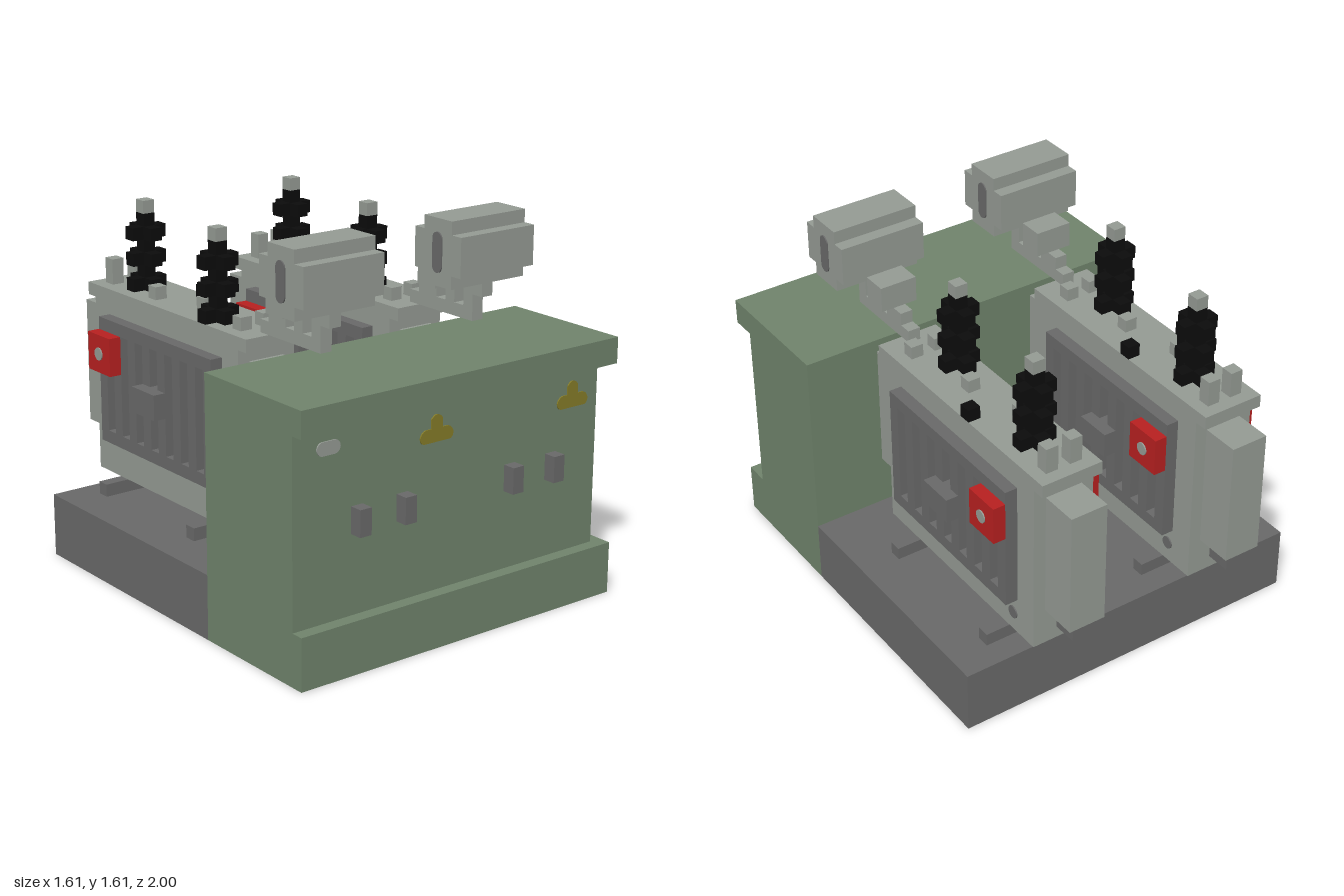
import * as THREE from 'three';

const U = 1 / 18; // building unit: every part sits on this grid

const mat = (name, color) => {
  const m = new THREE.MeshStandardMaterial({ color });
  m.name = name;
  return m;
};

export function createModel() {
  const green = mat('cabinet green', 0x70846c);
  const light = mat('light grey', 0x959b94);
  const dark = mat('dark grey', 0x696969);
  const black = mat('insulator black', 0x0c0c0c);
  const red = mat('red', 0xb82020);
  const yellow = mat('warning yellow', 0x857c28);

  // Box from its limits in grid units
  const box = (parent, name, m, x0, x1, y0, y1, z0, z1) => {
    const mesh = new THREE.Mesh(new THREE.BoxGeometry((x1 - x0) * U, (y1 - y0) * U, (z1 - z0) * U), m);
    mesh.position.set((x0 + x1) / 2 * U, (y0 + y1) / 2 * U, (z0 + z1) / 2 * U);
    mesh.name = name;
    parent.add(mesh);
    return mesh;
  };

  // Thin plate cut from a shape, facing +z before it is turned
  const plate = (parent, name, m, shape, x, y, z, turn = 0) => {
    const geo = new THREE.ExtrudeGeometry(shape, { depth: 0.1, bevelEnabled: false, curveSegments: 6 });
    const mesh = new THREE.Mesh(geo, m);
    mesh.scale.setScalar(U);
    mesh.position.set(x * U, y * U, z * U);
    mesh.rotation.y = turn;
    mesh.name = name;
    parent.add(mesh);
  };

  // Rounded slot of half width w and half height h
  const slot = (w, h) => {
    const s = new THREE.Shape();
    const r = Math.min(w, h);
    s.absarc(w - r, h - r, r, 0, Math.PI / 2);
    s.absarc(r - w, h - r, r, Math.PI / 2, Math.PI);
    s.absarc(r - w, r - h, r, Math.PI, Math.PI * 1.5);
    s.absarc(w - r, r - h, r, Math.PI * 1.5, Math.PI * 2);
    return s;
  };

  const model = new THREE.Group();
  model.name = 'transformerStation';

  // Plinth and switch cabinet with a recessed front
  box(model, 'plinth', dark, -14.5, 14.5, 0, 5, -14, 7);
  const cabinet = new THREE.Group();
  cabinet.name = 'switchCabinet';
  model.add(cabinet);
  box(cabinet, 'cabinetFoot', green, -14.5, 14.5, 0, 4, 7, 18);
  box(cabinet, 'cabinetBody', green, -14.5, 14.5, 4, 18, 7, 16);
  box(cabinet, 'cabinetDoors', green, -14.5, 13.5, 4, 18, 16, 17);
  box(cabinet, 'cabinetRoof', green, -14.5, 14.5, 18, 20, 7, 18);
  for (const x of [-9, -5, 5, 9]) box(cabinet, 'doorHandle', dark, x - 0.5, x + 0.5, 10, 12, 17, 18);
  plate(cabinet, 'namePlate', light, slot(1, 0.5), -11.5, 16.6, 17);

  // Warning signs
  const sign = new THREE.Shape();
  sign.moveTo(-1.2, 0);
  sign.lineTo(1.2, 0);
  sign.quadraticCurveTo(1.5, 0.1, 1.5, 0.5);
  sign.quadraticCurveTo(1.4, 0.9, 1, 1);
  sign.lineTo(0.5, 1);
  sign.lineTo(0.5, 1.7);
  sign.quadraticCurveTo(0, 2.3, -0.5, 1.7);
  sign.lineTo(-0.5, 1);
  sign.lineTo(-1, 1);
  sign.quadraticCurveTo(-1.4, 0.9, -1.5, 0.5);
  sign.quadraticCurveTo(-1.5, 0.1, -1.2, 0);
  for (const x of [-2, 11]) plate(cabinet, 'warningSign', yellow, sign, x, 15.1, 17);

  // High voltage bushing: core, three cross-shaped sheds, metal tip
  const bushing = (parent, x, z) => {
    const g = new THREE.Group();
    g.name = 'bushing';
    g.position.set(x * U, 21 * U, z * U);
    parent.add(g);
    box(g, 'bushingCore', black, -0.5, 0.5, 0, 6, -0.5, 0.5);
    box(g, 'bushingTip', light, -0.5, 0.5, 6, 7, -0.5, 0.5);
    for (const y of [0, 2, 4]) {
      box(g, 'shed', black, -1.5, 1.5, y, y + 1, -0.5, 0.5);
      box(g, 'shed', black, -0.5, 0.5, y, y + 1, -1.5, 1.5);
    }
  };

  const transformer = (x) => {
    const t = new THREE.Group();
    t.name = 'transformer';
    t.position.x = x * U;
    model.add(t);

    // Tank, lid, end radiators, skids, drain valve
    box(t, 'tank', light, -2.5, 2.5, 6, 20, -15, 4);
    box(t, 'lid', light, -2.5, 2.5, 20, 21, -16, 5);
    box(t, 'endRadiator', light, -1.5, 1.5, 9, 19, 4, 7);
    box(t, 'endRadiator', light, -1.5, 1.5, 9, 19, -18, -15);
    for (const z of [0, -12]) box(t, 'skid', dark, -4.5, 4.5, 5, 6, z, z + 1);
    box(t, 'drainValve', dark, -0.5, 0.5, 7, 8, -17, -15);
    plate(t, 'tankPort', dark, slot(0.5, 0.5), 2.5, 7.6, -12.5, Math.PI / 2);

    // Slotted cooling panel with handle and red gauge on each side
    for (const s of [1, -1]) {
      const side = (name, m, a, b, ...yz) => box(t, name, m, Math.min(s * a, s * b), Math.max(s * a, s * b), ...yz);
      side('panelBack', dark, 2.5, 2.6, 9, 19, -13, 2);
      side('panelRail', dark, 2.5, 3.5, 9, 10, -13, 2);
      side('panelRail', dark, 2.5, 3.5, 18, 19, -13, 2);
      for (let z = -13; z < 2; z += 2) side('panelRib', dark, 2.5, 3.5, 10, 18, z, z + 1);
      side('panelHandle', dark, 2.6, 4.5, 13, 15, -7, -4);
      side('gaugeBox', red, 3.5, 4.5, 15, 18, -13, -10);
      plate(t, 'gaugeFace', light, slot(0.5, 0.5), s * 4.5, 16.5, -11.5, s * Math.PI / 2);
    }

    // Lid fittings
    bushing(t, -1, -0.5);
    bushing(t, 0, -11.5);
    const fittings = [[-1, -14.5, 2], [1, -14.5, 2], [-1, -8.5, 1], [0, -3.5, 1], [-1, 2.5, 1], [1, 2.5, 1]];
    for (const [fx, fz, h] of fittings) box(t, 'lidFitting', light, fx - 0.5, fx + 0.5, 21, 21 + h, fz - 0.5, fz + 0.5);
    box(t, 'lidPlug', black, 1.5, 2.5, 21, 22, -7, -6);

    // Expansion tank with its pipes and relay box
    box(t, 'pipe', light, -0.5, 0.5, 21, 22, 4, 11);
    box(t, 'pipe', light, -0.5, 0.5, 22, 23, 5, 7);
    box(t, 'pipe', light, -0.5, 0.5, 22, 24, 8, 9);
    box(t, 'pipe', light, -0.5, 0.5, 22, 24, 10, 11);
    box(t, 'pipe', light, -0.5, 0.5, 23, 24, 11, 12);
    box(t, 'relayBox', light, -1.5, 1.5, 23, 25, 6, 8);
    box(t, 'expansionTank', light, -3.5, 3.5, 25, 28, 8, 13);
    box(t, 'expansionTankCore', light, -3.5, 3.5, 24, 29, 9, 12);
    for (const s of [1, -1]) plate(t, 'sightGlass', dark, slot(0.5, 1.5), s * 3.5, 26.5, 10.5, s * Math.PI / 2);
  };

  transformer(-7);
  transformer(7);
  return model;
}
